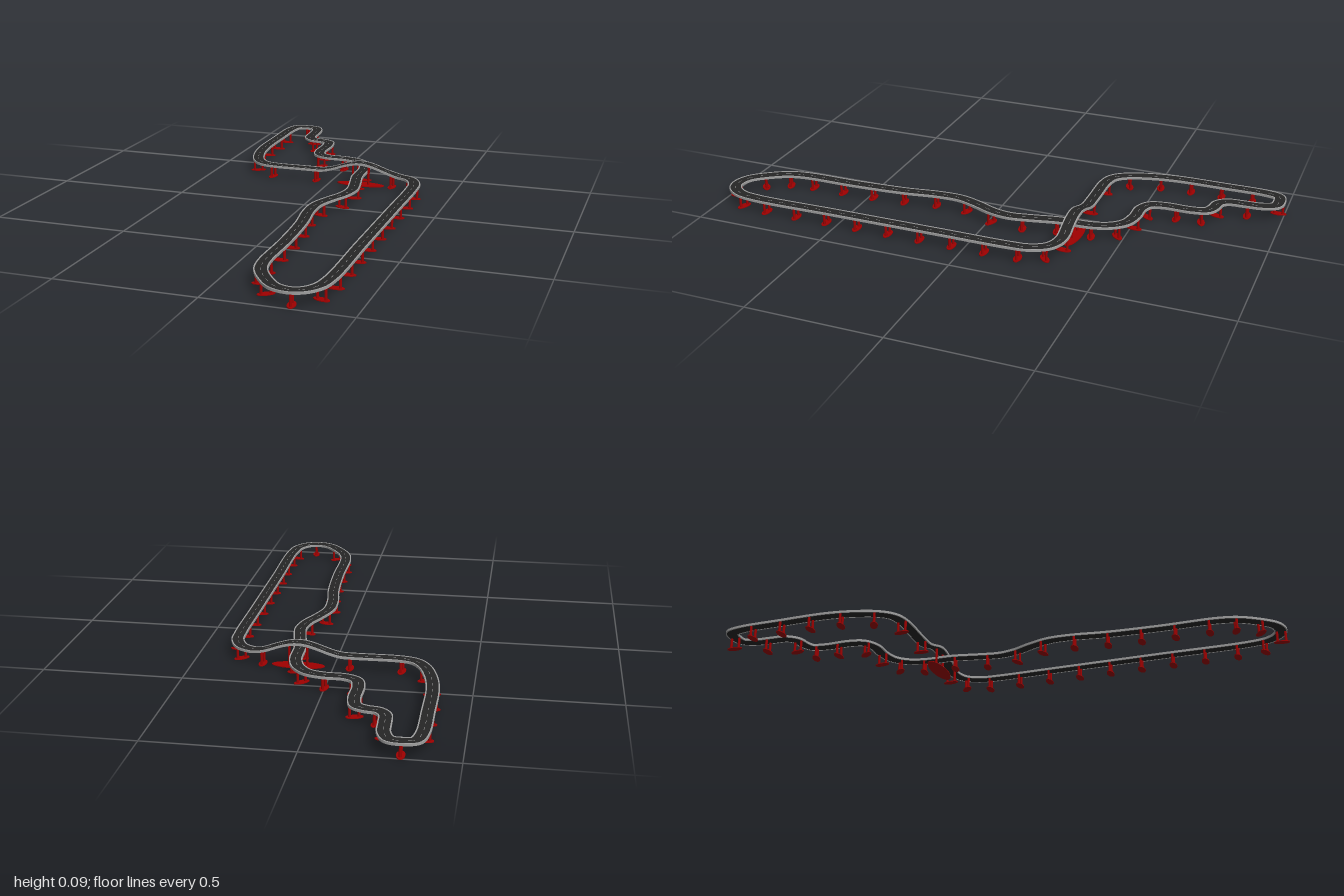
import * as THREE from 'three';

// Plan of the closed circuit (x, z), starting on the middle of the flyover
const PLAN = [
  [0.125, -0.328], [0.2, -0.328], [0.265, -0.327], [0.33, -0.3], [0.363, -0.24], [0.37, -0.17],
  [0.37, 0.1], [0.37, 0.5], [0.37, 0.84], [0.355, 0.915], [0.32, 0.958], [0.28, 0.97], [0.23, 0.955],
  [0.18, 0.9], [0.14, 0.83], [0.125, 0.76], [0.122, 0.55], [0.11, 0.35], [0.092, 0.22], [0.092, 0.13],
  [0.118, 0.05], [0.148, -0.02], [0.16, -0.09], [0.148, -0.17], [0.128, -0.27], [0.122, -0.39],
  [0.1, -0.455], [0.06, -0.497], [0, -0.514], [-0.07, -0.517], [-0.112, -0.54], [-0.127, -0.59],
  [-0.128, -0.69], [-0.142, -0.744], [-0.175, -0.762], [-0.217, -0.771], [-0.242, -0.8], [-0.248, -0.86],
  [-0.253, -0.925], [-0.275, -0.97], [-0.315, -0.977], [-0.355, -0.967], [-0.37, -0.92],
  [-0.373, -0.75], [-0.371, -0.57], [-0.355, -0.47], [-0.325, -0.385], [-0.29, -0.344], [-0.24, -0.329],
  [-0.1, -0.328],
];
// Supports: a place (x, z) and the number of equal spans to the next place
const STATIONS = [
  [0.125, -0.328, 1], [0.25, -0.328, 2], [0.37, -0.2, 8], [0.37, 0.795, 2], [0.29, 0.97, 1],
  [0.19, 0.905, 2], [0.125, 0.735, 9], [0.12, -0.385, 2], [0, -0.514, 2], [-0.127, -0.635, 2],
  [-0.207, -0.767, 1], [-0.247, -0.87, 1], [-0.313, -0.977, 1], [-0.372, -0.87, 3], [-0.37, -0.51, 2],
  [-0.24, -0.329, 2],
];
const DECK = 0.05, RISE = 0.04, RAMP = 0.175, STEPS = 700;

const curve = new THREE.CatmullRomCurve3(PLAN.map(([x, z]) => new THREE.Vector3(x, 0, z)), true, 'centripetal');
curve.arcLengthDivisions = 2000;

// Position and sideways direction at a fraction of the lap
function frameAt(u) {
  const p = curve.getPointAt(u % 1);
  const t = curve.getTangentAt(u % 1);
  const d = Math.min(u, 1 - u) * curve.getLength();
  p.y = DECK + (d < RAMP ? RISE * (0.5 + 0.5 * Math.cos(Math.PI * d / RAMP)) : 0);
  return { p, n: new THREE.Vector3(-t.z, 0, t.x) };
}

// Sweep a counter-clockwise section (sideways, up) along the lap
function sweep(frames, section) {
  const pos = [], index = [], m = section.length;
  for (const { p, n } of frames) {
    for (let j = 0; j < m; j++) {
      for (const [s, y] of [section[j], section[(j + 1) % m]]) {
        pos.push(p.x + n.x * s, p.y + y, p.z + n.z * s);
      }
    }
  }
  for (let i = 0; i < frames.length - 1; i++) {
    for (let j = 0; j < m; j++) {
      const a = (i * m + j) * 2, b = a + 1, d = a + m * 2, c = d + 1;
      index.push(a, d, b, b, d, c);
    }
  }
  const g = new THREE.BufferGeometry();
  g.setAttribute('position', new THREE.Float32BufferAttribute(pos, 3));
  g.setIndex(index);
  g.computeVertexNormals();
  return g;
}

const rect = (s0, s1, y0, y1) => [[s0, y0], [s1, y0], [s1, y1], [s0, y1]];

export function createModel() {
  const group = new THREE.Group();
  const asphalt = new THREE.MeshStandardMaterial({ color: 0x262626 });
  const grey = new THREE.MeshStandardMaterial({ color: 0xa0a0a0 });
  const red = new THREE.MeshStandardMaterial({ color: 0xa00000 });

  const add = (parent, name, geometry, material) => {
    const mesh = new THREE.Mesh(geometry, material);
    mesh.name = name;
    parent.add(mesh);
    return mesh;
  };

  // Road deck and edge rails
  const frames = Array.from({ length: STEPS + 1 }, (_, i) => frameAt(i / STEPS));
  add(group, 'roadDeck', sweep(frames, rect(-0.0192, 0.0192, -0.006, 0)), asphalt);
  for (const side of [-1, 1]) {
    const c = side * 0.0213;
    add(group, side < 0 ? 'innerRail' : 'outerRail', sweep(frames, rect(c - 0.0022, c + 0.0022, -0.007, 0.0015)), grey);
  }

  // Dashed centre line
  for (let i = 0; i < STEPS; i += 7) {
    add(group, 'centreDash', sweep(frames.slice(i, i + 4), rect(-0.0007, 0.0007, -0.001, 0.0004)), grey);
  }

  // Supports: an oval foot with a pair of posts under the deck
  const post = new THREE.CylinderGeometry(0.0048, 0.0048, 1, 12);
  const foot = new THREE.CylinderGeometry(1, 1, 0.003, 32);
  function support(name, p, angle, spread, footWidth, footDepth) {
    const s = new THREE.Group();
    s.name = name;
    s.position.set(p.x, 0, p.z);
    s.rotation.y = angle;
    const f = add(s, 'foot', foot, red);
    f.scale.set(footWidth, 1, footDepth);
    f.position.y = 0.0015;
    const top = p.y - 0.005;
    for (const side of [-1, 1]) {
      const m = add(s, 'post', post, red);
      m.scale.y = top;
      m.position.set(side * spread, top / 2, 0);
    }
    group.add(s);
  }

  // Lap fraction of the point on the road nearest to each station
  const stops = STATIONS.map(([x, z]) => {
    const gaps = frames.map(({ p }) => Math.hypot(p.x - x, p.z - z));
    return gaps.indexOf(Math.min(...gaps)) / STEPS;
  });
  stops[0] = 0;
  stops.push(1);
  STATIONS.forEach(([, , spans], i) => {
    for (let k = 0; k < spans; k++) {
      const { p, n } = frameAt(THREE.MathUtils.lerp(stops[i], stops[i + 1], k / spans));
      // The first one is the wide pier that carries the flyover astride the lower road
      if (i === 0) support('flyoverPier', p, 0, 0.032, 0.095, 0.03);
      else support('support', p, Math.atan2(-n.z, n.x), 0.0155, 0.0295, 0.014);
    }
  });
  return group;
}
